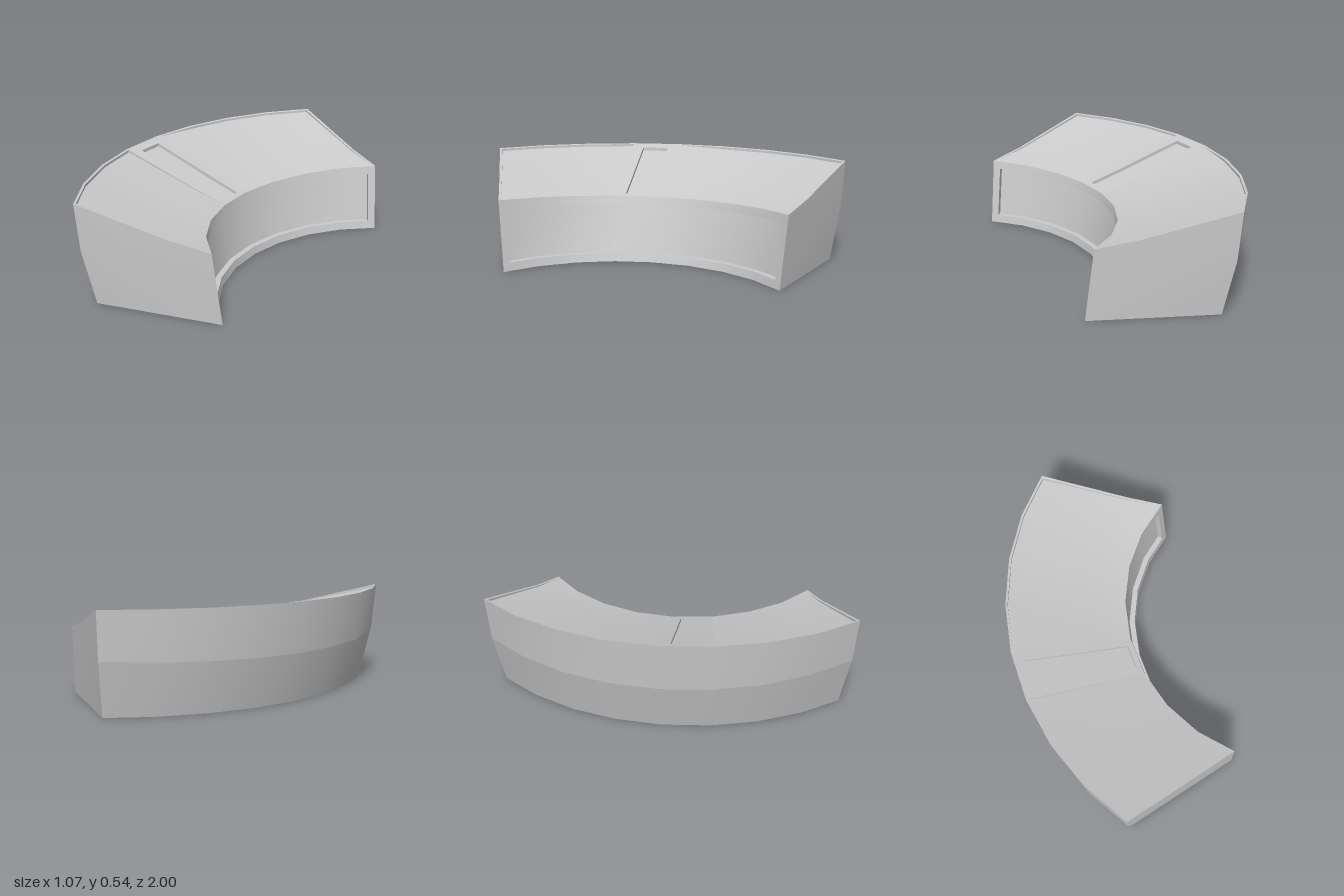
import * as THREE from 'three';
import { toCreasedNormals } from 'three/addons/utils/BufferGeometryUtils.js';

const material = new THREE.MeshStandardMaterial({ color: 0xcccccc, side: THREE.DoubleSide });

// A rail is an eight-segment arc, t = -1..1, given by its middle (x0, y0) and its end (xe, ye, ze).
function rail(x0, xe, ze, y0, ye) {
  const sag = xe - x0;
  const radius = (ze * ze + sag * sag) / (2 * sag);
  const sweep = Math.asin(ze / radius);
  const node = (k) => {
    const a = (k / 4) * sweep;
    const rise = radius * (1 - Math.cos(a));
    return new THREE.Vector3(x0 + rise, y0 + (ye - y0) * (rise / sag), radius * Math.sin(a));
  };
  return (t) => {
    const k = Math.min(3, Math.floor(t * 4));
    return node(k).lerp(node(k + 1), t * 4 - k);
  };
}

const outerBottom = rail(-0.44, -0.095, 0.94, 0, 0);
const outerMid = rail(-0.51, -0.14, 0.985, 0.27, 0.29);
const outerTop = rail(-0.535, -0.155, 1, 0.54, 0.54);
const deckMid = rail(-0.08, 0.3, 0.823, 0.405, 0.412);
const innerTop = rail(0.115, 0.49, 0.75, 0.35, 0.375);
const innerBottom = rail(0.185, 0.53, 0.72, 0, 0);

// Surfaces between rails: t runs along the arc, v across it.
const between = (a, b) => (t, v) => a(t).lerp(b(t), v);
const deck = (t, v) => (v < 0.7
  ? between(outerTop, deckMid)(t, v / 0.7)
  : between(deckMid, innerTop)(t, (v - 0.7) / 0.3));

// Offsets for sunken areas
const down = (depth) => (p, s) => { p.y -= depth * s; };
const intoWall = (depth) => (p, s) => {
  const l = Math.hypot(p.x - 1.08, p.z);
  p.x += ((p.x - 1.08) / l) * depth * s;
  p.z += (p.z / l) * depth * s;
};

function mesh(name, triangles) {
  const geometry = new THREE.BufferGeometry().setFromPoints(triangles);
  const m = new THREE.Mesh(toCreasedNormals(geometry, 0.4), material);
  m.name = name;
  return m;
}

// Grid patch. Each grid line is [position, sink]; a doubled line with two sinks makes a step.
function patch(name, surface, ts, vs, offset = () => {}) {
  const grid = ts.map(([t, a]) => vs.map(([v, b]) => {
    const p = surface(t, v);
    offset(p, a * b);
    return p;
  }));
  const triangles = [];
  const add = (a, b, c) => {
    if (new THREE.Triangle(a, b, c).getArea() > 1e-8) triangles.push(a, b, c);
  };
  for (let i = 0; i < ts.length - 1; i++) {
    for (let j = 0; j < vs.length - 1; j++) {
      const [a, b, c, d] = [grid[i][j], grid[i + 1][j], grid[i + 1][j + 1], grid[i][j + 1]];
      add(a, b, c);
      add(a, c, d);
    }
  }
  return mesh(name, triangles);
}

// Flat cap across one end of the desk
function endCap(name, t) {
  const p = [innerBottom, outerBottom, outerMid, outerTop, deckMid, innerTop].map((r) => r(t));
  if (t > 0) p.reverse();
  const hub = t > 0 ? 5 : 0;
  const triangles = [];
  for (let i = 1; i < 5; i++) triangles.push(p[hub], p[(hub + i) % 6], p[(hub + i + 1) % 6]);
  return mesh(name, triangles);
}

export function createModel() {
  const group = new THREE.Group();
  group.name = 'curvedDesk';

  const nodes = [-1, -0.75, -0.5, -0.25, 0, 0.25, 0.5, 0.75, 1].map((t) => [t, 0]);
  const inner = [-0.75, -0.5, -0.25, 0, 0.25, 0.5, 0.75].map((t) => [t, 1]);
  const edge = [[0, 0], [1, 0]];

  // Shell
  group.add(patch('outerWallLower', between(outerBottom, outerMid), nodes, edge));
  group.add(patch('outerWallUpper', between(outerMid, outerTop), nodes, edge));
  group.add(patch('underside', between(innerBottom, outerBottom), nodes, edge));
  group.add(endCap('leftEnd', 1), endCap('rightEnd', -1));

  // Inner wall with its long recessed panel
  group.add(patch('innerWall', between(innerTop, innerBottom),
    [[-1, 0], [-0.95, 0], [-0.95, 1], ...inner, [0.95, 1], [0.95, 0], [1, 0]],
    [[0, 0], [0.12, 0], [0.12, 1], [0.88, 1], [0.88, 0], [1, 0]], intoWall(0.03)));

  // Sloping worktops, slightly sunk behind a thin rim
  const rim = [[0, 0], [0.018, 0], [0.018, 1], [0.7, 0.5], [1, 0]];
  group.add(patch('rightWorktop', deck,
    [[-1, 0], [-0.985, 0], [-0.985, 1], [-0.75, 1], [-0.5, 1], [-0.25, 1], [0, 0]],
    rim, down(0.013)));
  group.add(patch('leftWorktop', deck,
    [[0.25, 0], [0.25, 1], [0.5, 1], [0.75, 1], [0.985, 1], [0.985, 0], [1, 0]],
    rim, down(0.013)));

  // Strip between the worktops with a shallow slot
  group.add(patch('slottedStrip', deck,
    [[0, 0], [0.05, 0], [0.05, 1], [0.19, 1], [0.19, 0], [0.25, 0]],
    [[0, 0], [0.085, 0], [0.085, 1], [0.7, 1], [0.954, 1], [0.954, 0], [1, 0]], down(0.018)));

  return group;
}
